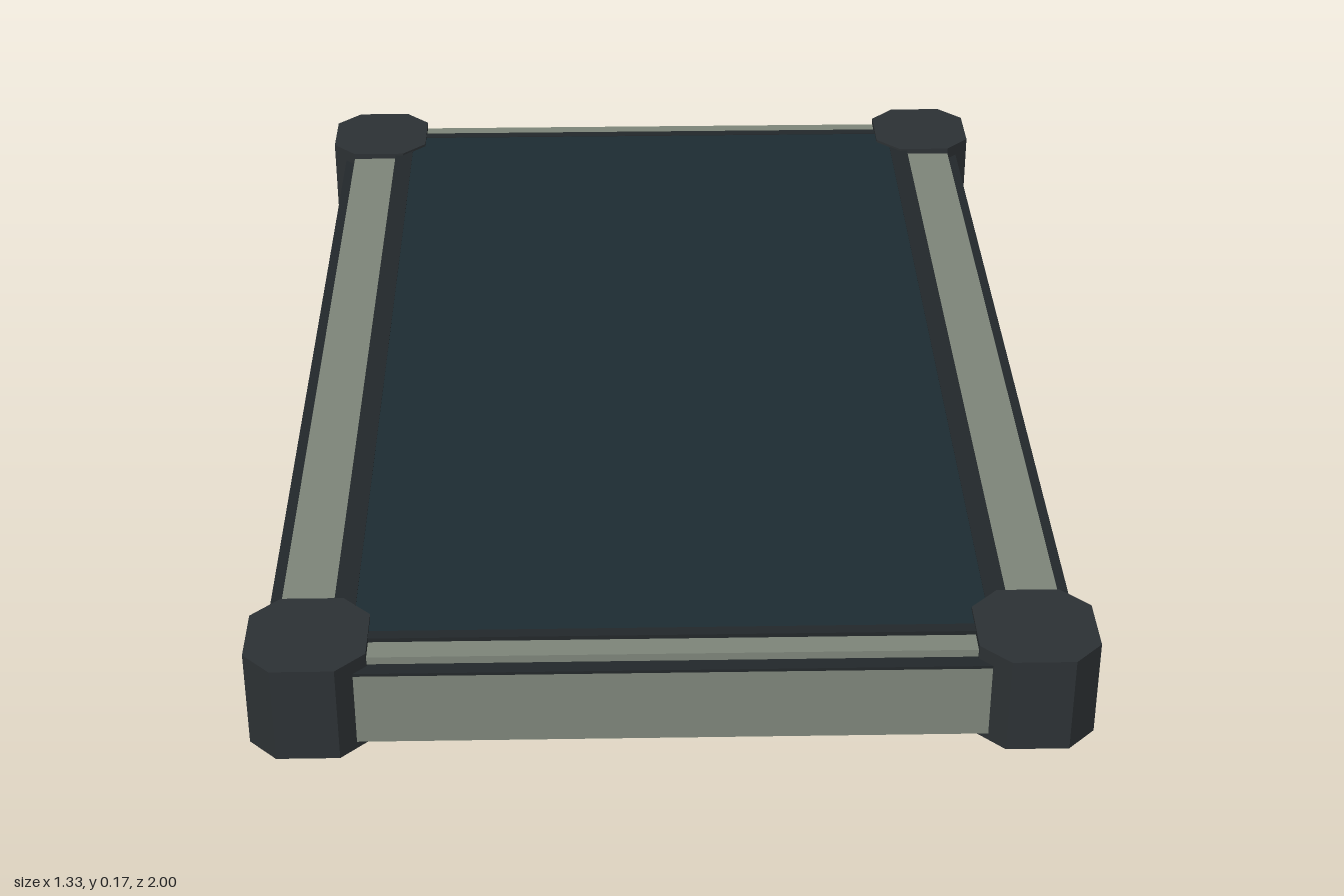
import * as THREE from 'three';

const mat = (color) => new THREE.MeshStandardMaterial({ color, flatShading: true });
const GREY = mat(0x7f877b), RUBBER = mat(0x2d3235), TRIM = mat(0x23282b), GLASS = mat(0x1d2d33), BLACK = mat(0x1c1f20);

// Rectangle centred on the origin with cut corners
function cutRect(w, d, c, Type = THREE.Shape) {
  const x = w / 2, z = d / 2;
  return new Type([
    [x - c, -z], [x, -z + c], [x, z - c], [x - c, z],
    [-x + c, z], [-x, z - c], [-x, -z + c], [-x + c, -z],
  ].map(([a, b]) => new THREE.Vector2(a, b)));
}

// Flat slab between heights y0 and y1, with an optional opening
function slab(name, material, w, d, c, y0, y1, hole) {
  const shape = cutRect(w, d, c);
  if (hole) shape.holes.push(cutRect(...hole, THREE.Path));
  const geo = new THREE.ExtrudeGeometry(shape, { depth: y1 - y0, bevelEnabled: false });
  geo.rotateX(-Math.PI / 2).translate(0, y0, 0);
  const mesh = new THREE.Mesh(geo, material);
  mesh.name = name;
  return mesh;
}

export function createModel() {
  const model = new THREE.Group();
  model.name = 'ruggedTablet';

  // Case and the stepped layers of its top
  model.add(
    slab('caseBody', GREY, 1.28, 1.95, 0.02, 0.012, 0.138),
    slab('seam', TRIM, 1.28, 1.95, 0.02, 0.138, 0.143),
    slab('topRails', GREY, 1.24, 1.9, 0.02, 0.143, 0.156),
    slab('screenBezel', TRIM, 1.07, 1.82, 0.01, 0.156, 0.163, [1.0, 1.78, 0.01]),
    slab('screen', GLASS, 1.0, 1.78, 0.01, 0.156, 0.162),
  );

  // Corner bumpers and the pair of long feet
  for (const sz of [-1, 1]) {
    for (const sx of [-1, 1]) {
      const bumper = slab('cornerBumper', RUBBER, 0.19, 0.195, 0.045, 0, 0.167);
      bumper.position.set(sx * 0.57, 0, sz * 0.9025);
      model.add(bumper);
    }
    const foot = slab('foot', BLACK, 0.866, 0.07, 0.006, 0, 0.014);
    foot.position.z = sz * 0.6;
    model.add(foot);
  }

  // Battery hatch underneath: raised rim around a plain cover
  model.add(
    slab('hatchRim', BLACK, 0.47, 0.745, 0.025, 0.001, 0.014, [0.425, 0.7, 0.02]),
    slab('hatchCover', GREY, 0.425, 0.7, 0.02, 0.009, 0.014),
  );

  // Docking connector with three contacts
  const dock = new THREE.Group();
  dock.name = 'dockConnector';
  dock.position.x = -0.37;
  dock.add(slab('dockPlate', BLACK, 0.07, 0.28, 0.006, 0.007, 0.014));
  for (const z of [-0.085, 0, 0.085]) {
    const contact = slab('dockContact', GREY, 0.015, 0.015, 0.004, 0.005, 0.01);
    contact.position.z = z;
    dock.add(contact);
  }
  model.add(dock);

  return model;
}
